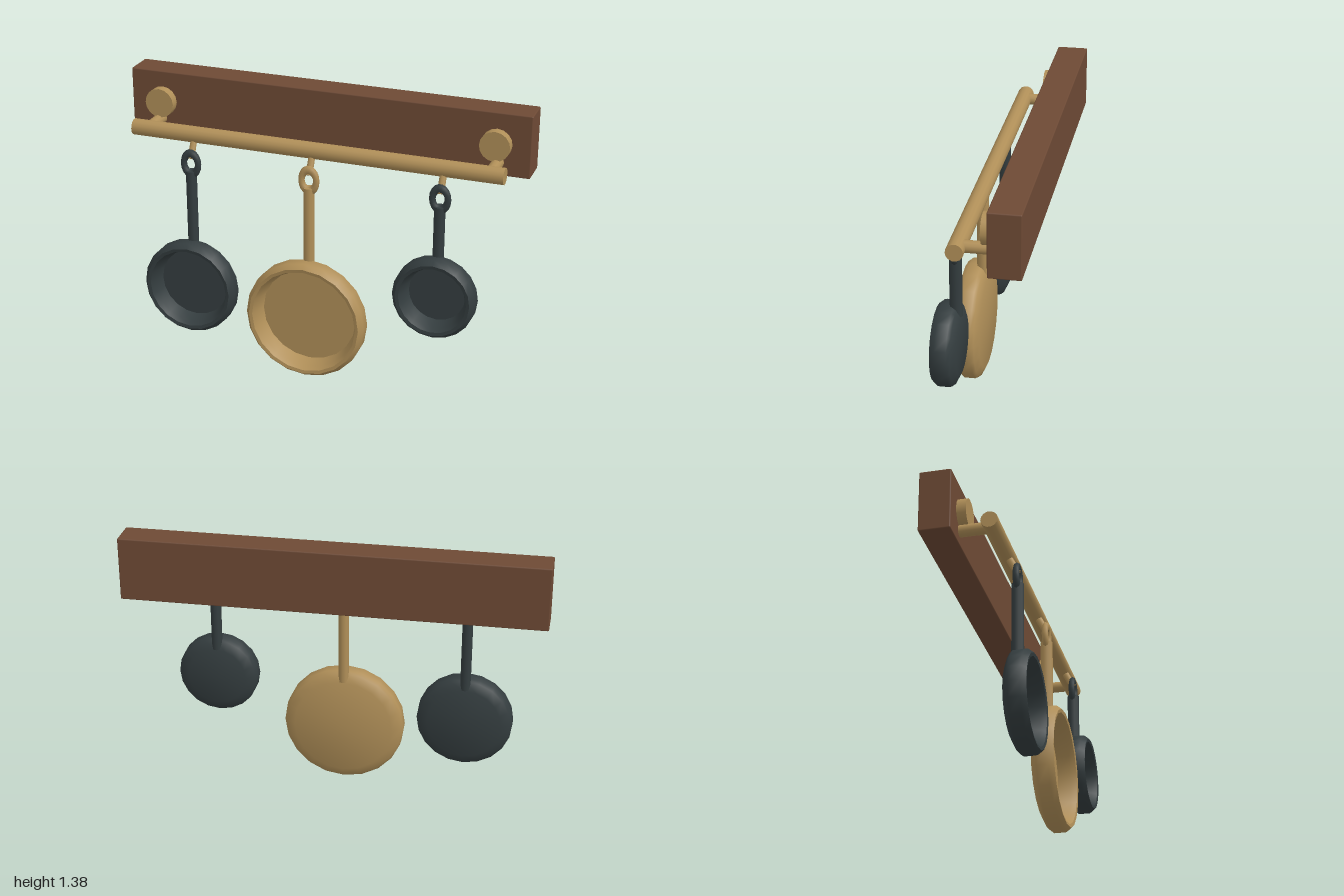
import * as THREE from 'three';
import { toCreasedNormals } from 'three/addons/utils/BufferGeometryUtils.js';
import { RoundedBoxGeometry } from 'three/addons/geometries/RoundedBoxGeometry.js';

export function createModel() {
  const wood = new THREE.MeshStandardMaterial({ name: 'wood', color: 0x6e4a35 });
  const brass = new THREE.MeshStandardMaterial({ name: 'brass', color: 0xb08f58 });
  const iron = new THREE.MeshStandardMaterial({ name: 'iron', color: 0x343d3f });

  const rack = new THREE.Group();
  rack.name = 'panRack';

  function add(parent, name, geometry, material, x = 0, y = 0, z = 0) {
    const mesh = new THREE.Mesh(geometry, material);
    mesh.name = name;
    mesh.position.set(x, y, z);
    parent.add(mesh);
    return mesh;
  }

  // Round bar between two points
  function bar(parent, name, from, to, radius, sides, material) {
    const a = new THREE.Vector3(...from), b = new THREE.Vector3(...to);
    const dir = b.clone().sub(a);
    const mid = a.clone().add(b).multiplyScalar(0.5);
    const mesh = add(parent, name, new THREE.CylinderGeometry(radius, radius, dir.length(), sides), material, mid.x, mid.y, mid.z);
    mesh.quaternion.setFromUnitVectors(new THREE.Vector3(0, 1, 0), dir.normalize());
    return mesh;
  }

  // Wall board
  add(rack, 'wallBoard', new RoundedBoxGeometry(2, 0.305, 0.15, 1, 0.006), wood, 0, 1.2225, -0.15);

  // Rail with its two mounts
  const railY = 1.135, railZ = 0.08;
  bar(rack, 'rail', [-0.92, railY, railZ], [0.92, railY, railZ], 0.04, 14, brass);
  for (const side of [-1, 1]) {
    bar(rack, 'mountFlange', [side * 0.838, 1.225, -0.08], [side * 0.838, 1.225, -0.03], 0.073, 16, brass);
    bar(rack, 'mountArm', [side * 0.848, railY, -0.08], [side * 0.848, railY, railZ], 0.028, 12, brass);
  }

  // Dished pan body, open towards the front
  function panBody(r) {
    const profile = [
      [0, 0.11], [r - 0.055, 0.11], [r - 0.012, 0.13], [r, 0.145], [r, 0.2],
      [r - 0.02, 0.225], [r - 0.036, 0.222], [r - 0.048, 0.195], [r - 0.063, 0.135], [0, 0.135],
    ].map(([x, y]) => new THREE.Vector2(x, y));
    const geometry = new THREE.LatheGeometry(profile, 20);
    geometry.rotateX(Math.PI / 2);
    return toCreasedNormals(geometry, 0.75);
  }

  // Pan with handle and hanging ring, on its own hook
  function hangingPan(name, x, centreY, r, material) {
    const pan = new THREE.Group();
    pan.name = name;
    pan.position.x = x;
    rack.add(pan);

    bar(pan, 'hook', [0, 1.14, 0.078], [0, 1.03, 0.134], 0.017, 8, brass);

    const ring = add(pan, 'hangingRing', new THREE.TorusGeometry(0.037, 0.016, 8, 18), material, 0, 1.005, 0.135);
    ring.scale.y = 1.4;

    const top = 0.97, bottom = centreY + r - 0.053;
    const handle = add(pan, 'handle', new THREE.CylinderGeometry(0.026, 0.026, top - bottom, 10), material, 0, (top + bottom) / 2, 0.135);
    handle.scale.z = 1.15;

    add(pan, 'panBody', panBody(r), material, 0, centreY, 0);
  }

  hangingPan('mediumIronPan', -0.602, 0.374, 0.237, iron);
  hangingPan('largeBrassPan', 0, 0.3, 0.3, brass);
  hangingPan('smallIronPan', 0.637, 0.525, 0.2, iron);

  return rack;
}
